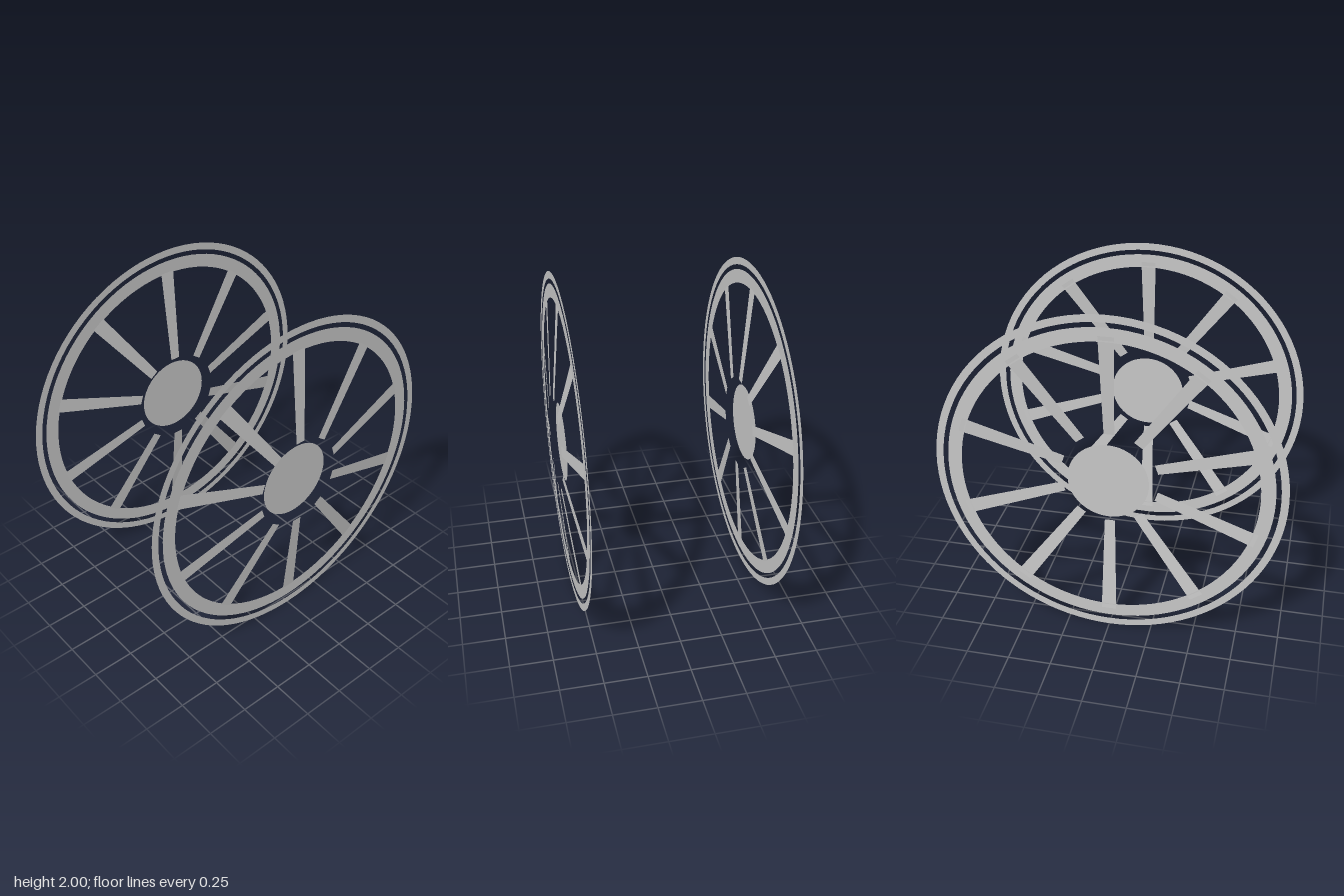
import * as THREE from 'three';

const SPOKES = 10;

// Flat annulus (or disc) facing +x
function flatRing(name, inner, outer, x, material) {
  const geometry = inner > 0
    ? new THREE.RingGeometry(inner, outer, 96)
    : new THREE.CircleGeometry(outer, 64);
  geometry.rotateY(Math.PI / 2);
  const mesh = new THREE.Mesh(geometry, material);
  mesh.name = name;
  mesh.position.x = x;
  return mesh;
}

// Tapered blade, leaning outward in x towards the hub
function spokeGeometry() {
  const inner = { x: 0.046, r: 0.28, w: 0.03 };
  const outer = { x: -0.002, r: 0.88, w: 0.044 };
  const geometry = new THREE.BufferGeometry();
  geometry.setAttribute('position', new THREE.Float32BufferAttribute([
    inner.x, inner.r, inner.w,
    inner.x, inner.r, -inner.w,
    outer.x, outer.r, -outer.w,
    outer.x, outer.r, outer.w,
  ], 3));
  geometry.setIndex([0, 1, 2, 0, 2, 3]);
  geometry.computeVertexNormals();
  return geometry;
}

function createWheel(name, material) {
  const wheel = new THREE.Group();
  wheel.name = name;
  wheel.add(flatRing('outerRim', 0.957, 1, 0, material));
  wheel.add(flatRing('innerRim', 0.848, 0.929, 0, material));
  wheel.add(flatRing('hubDisc', 0, 0.232, 0.011, material));

  const blade = spokeGeometry();
  for (let i = 0; i < SPOKES; i++) {
    const spoke = new THREE.Mesh(blade, material);
    spoke.name = 'spoke';
    spoke.rotation.x = (i / SPOKES) * Math.PI * 2;
    wheel.add(spoke);
  }
  return wheel;
}

export function createModel() {
  const grey = new THREE.MeshStandardMaterial({ color: 0xc8c8c8 });
  grey.name = 'light grey';
  grey.side = THREE.DoubleSide;

  const model = new THREE.Group();
  model.name = 'wheelPair';

  // Two identical wheels, both leaning the same way
  const right = createWheel('rightWheel', grey);
  right.position.set(-0.586, 1, 0);
  const left = createWheel('leftWheel', grey);
  left.position.set(0.541, 1, 0);
  model.add(right, left);
  return model;
}
